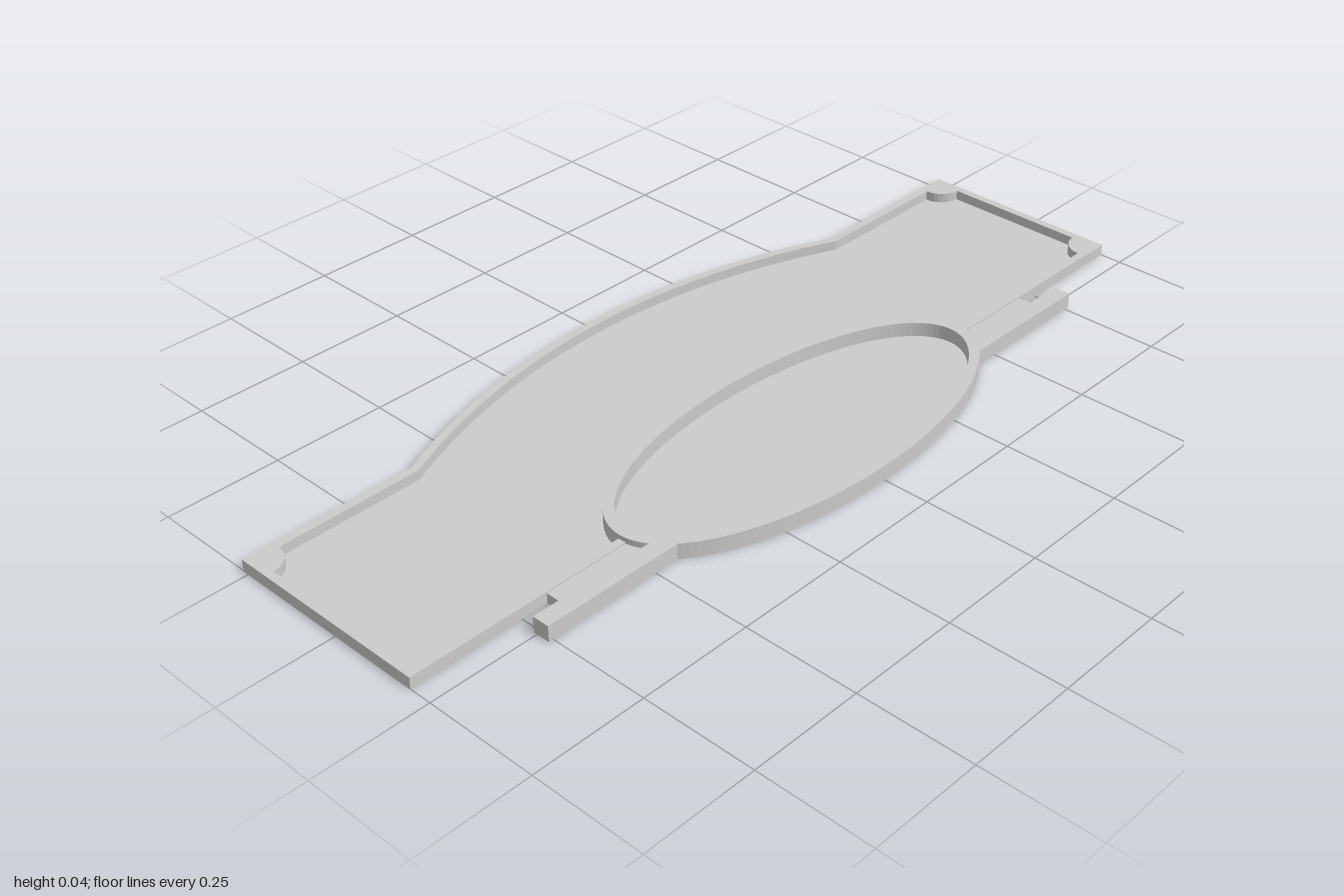
import * as THREE from 'three';

const material = new THREE.MeshStandardMaterial({ color: 0xcccccc, side: THREE.DoubleSide });
const RIM_Y = 0.025, RING_Y = 0.035, PANEL_Y = 0.003, WEB_Y = 0.022;
const RING_Z = 0.184;

// Flat face at height y from a list of [x, z] points
function cap(points, y, hole) {
  const toVec = ([x, z]) => new THREE.Vector2(x, -z);
  const shape = new THREE.Shape(points.map(toVec));
  if (hole) shape.holes.push(new THREE.Path(hole.map(toVec)));
  return new THREE.ShapeGeometry(shape).rotateX(-Math.PI / 2).translate(0, y, 0);
}

// Upright strip following a list of [x, z] points
function wall(points, y0, y1, closed = false) {
  const pos = [];
  const count = closed ? points.length : points.length - 1;
  for (let i = 0; i < count; i++) {
    const [ax, az] = points[i], [bx, bz] = points[(i + 1) % points.length];
    pos.push(ax, y0, az, bx, y0, bz, bx, y1, bz, ax, y0, az, bx, y1, bz, ax, y1, az);
  }
  const g = new THREE.BufferGeometry();
  g.setAttribute('position', new THREE.Float32BufferAttribute(pos, 3));
  g.computeVertexNormals();
  return g;
}

// Ellipse points around the medallion, from angle a0 to a1
function ellipse(rx, rz, a0, a1, n) {
  return Array.from({ length: n + 1 }, (_, i) => {
    const a = a0 + (a1 - a0) * i / n;
    return [rx * Math.cos(a), RING_Z + rz * Math.sin(a)];
  });
}

// Plaque outline inset by d, from the ring's left side round the back to its right
function outline(d, notch) {
  const half = [[0.496, 0.2 - d]];
  const x = 1 - d, front = 0.2 - d, back = -0.265 + d;
  const corner = (z, a0, a1) => {
    if (!notch) return half.push([x, z]);
    for (let i = 0; i <= 8; i++) {
      const a = a0 + (a1 - a0) * i / 8;
      half.push([x + notch * Math.cos(a), z + notch * Math.sin(a)]);
    }
  };
  corner(front, Math.PI, Math.PI * 1.5);
  corner(back, Math.PI / 2, Math.PI);
  // bowed back edge
  const w = 0.61 - d * 0.2, rise = 0.135;
  const r = (w * w + rise * rise) / (2 * rise), sweep = Math.asin(w / r);
  for (let i = 0; i <= 20; i++) {
    const a = sweep * (1 - i / 20);
    half.push([r * Math.sin(a), back - rise + r * (1 - Math.cos(a))]);
  }
  const mirrored = half.slice(0, -1).reverse().map(([px, pz]) => [-px, pz]);
  return half.concat(mirrored);
}

export function createModel() {
  const group = new THREE.Group();
  const add = (name, ...geometries) => {
    const part = new THREE.Group();
    part.name = name;
    geometries.forEach((g) => {
      const mesh = new THREE.Mesh(g, material);
      mesh.name = name + 'Surface';
      part.add(mesh);
    });
    group.add(part);
  };

  // Raised rim with quarter-round corner fillers, hollow underneath
  const outer = outline(0), inner = outline(0.018, 0.05);
  add('rim',
    cap(outer.concat([...inner].reverse()), RIM_Y),
    wall(outer, 0, RIM_Y),
    wall(inner, PANEL_Y, RIM_Y));

  // Recessed field, cut away around the medallion
  const backOfRing = ellipse(0.497, 0.214, Math.PI, Math.PI * 2, 64);
  add('panel', cap(inner.concat(backOfRing), PANEL_Y));

  // Oval medallion frame and its sunken field
  const ringOuter = ellipse(0.497, 0.214, 0, Math.PI * 2, 128).slice(0, -1);
  const ringInner = ellipse(0.472, 0.193, 0, Math.PI * 2, 128).slice(0, -1);
  add('ovalRing',
    cap(ringOuter, RING_Y, ringInner),
    wall(ringOuter, 0, RING_Y, true),
    wall(ringInner, PANEL_Y, RING_Y, true));
  add('ovalPanel', cap(ringInner, PANEL_Y));

  // Side bars and the lower webs joining them to the rim
  for (const [side, s] of [['left', 1], ['right', -1]]) {
    const flip = (pts) => pts.map(([x, z]) => [s * x, z]);
    const bar = flip([[0.478, 0.242], [0.76, 0.242], [0.76, 0.28], [0.444, 0.28]]);
    const web = flip([[0.495, 0.2], [0.69, 0.2], [0.69, 0.242], [0.478, 0.242]]);
    add(side + 'Bar', cap(bar, RING_Y), wall(bar, 0, RING_Y, true));
    add(side + 'Web', cap(web, WEB_Y), wall(web.slice(1, 3), 0, WEB_Y));
  }
  return group;
}
